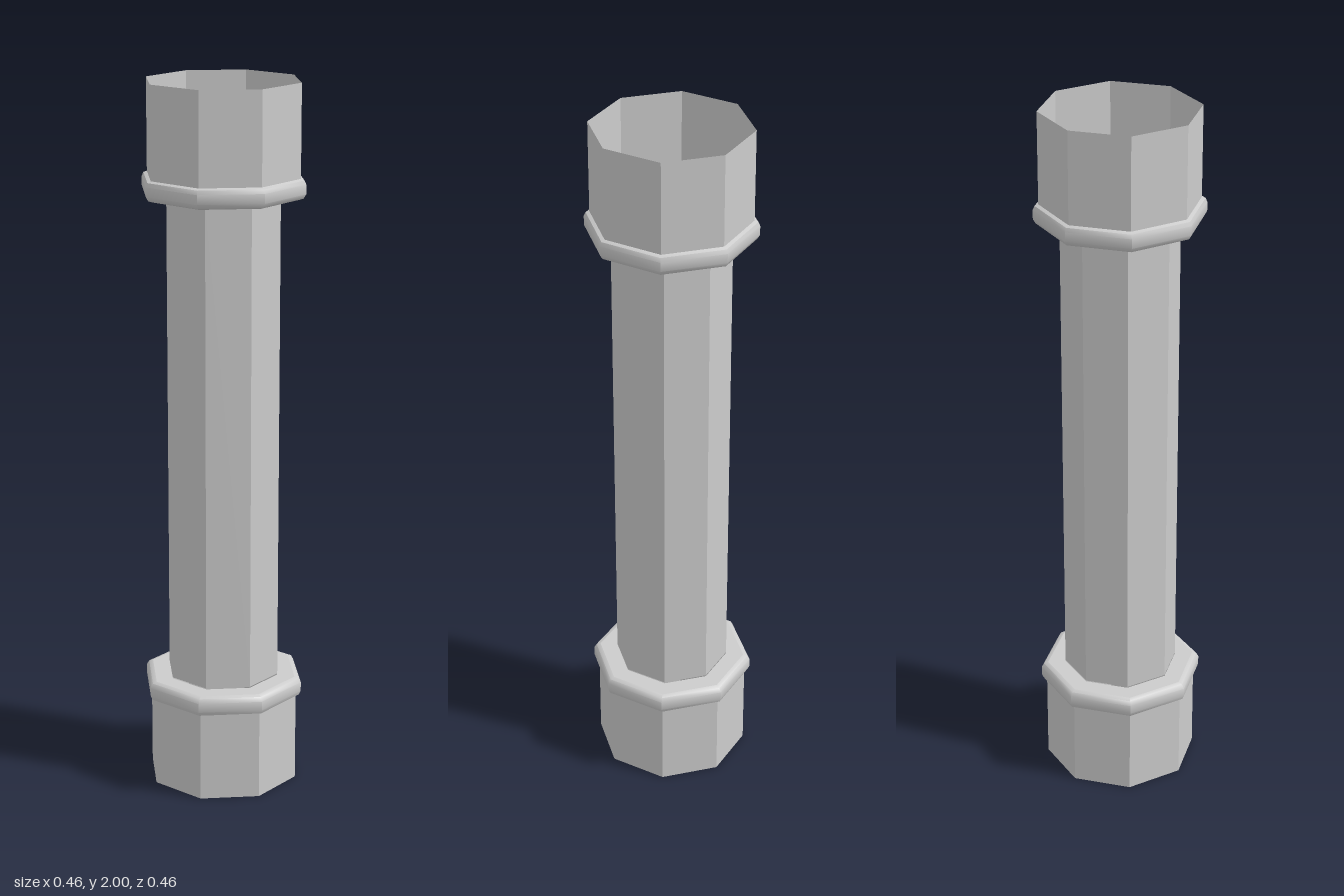
import * as THREE from 'three';
import { toCreasedNormals } from 'three/addons/utils/BufferGeometryUtils.js';

const SIDES = 8;
const TUBE_R = 0.162;
const SOCKET_R = 0.217;

// Open eight-sided shell; profile runs from bottom to top as [radius, y]
function shell(name, profile, material) {
  const points = profile.map(([r, y]) => new THREE.Vector2(r, y));
  const lathe = new THREE.LatheGeometry(points, SIDES);
  const mesh = new THREE.Mesh(toCreasedNormals(lathe, THREE.MathUtils.degToRad(42)), material);
  mesh.name = name;
  return mesh;
}

export function createModel() {
  const model = new THREE.Group();
  model.name = 'pipe';
  const material = new THREE.MeshStandardMaterial({ color: 0xcccccc, side: THREE.DoubleSide });

  // Hollow middle tube
  model.add(shell('tube', [[TUBE_R, 0.315], [TUBE_R, 1.685]], material));

  // Upper end: flat shoulder, rounded collar, open socket
  const shoulder = [[TUBE_R, 1.688], [0.213, 1.688]];
  const collar = [
    [0.213, 1.688], [0.225, 1.692], [0.232, 1.704],
    [0.232, 1.73], [0.227, 1.741], [SOCKET_R, 1.745],
  ];
  const socket = [[SOCKET_R, 1.745], [SOCKET_R, 2]];

  // Both ends share the same parts, mirrored about mid height
  const parts = { Shoulder: shoulder, Collar: collar, Socket: socket };
  for (const [part, profile] of Object.entries(parts)) {
    const mirrored = profile.map(([r, y]) => [r, 2 - y]).reverse();
    model.add(shell('top' + part, profile, material));
    model.add(shell('bottom' + part, mirrored, material));
  }
  return model;
}
